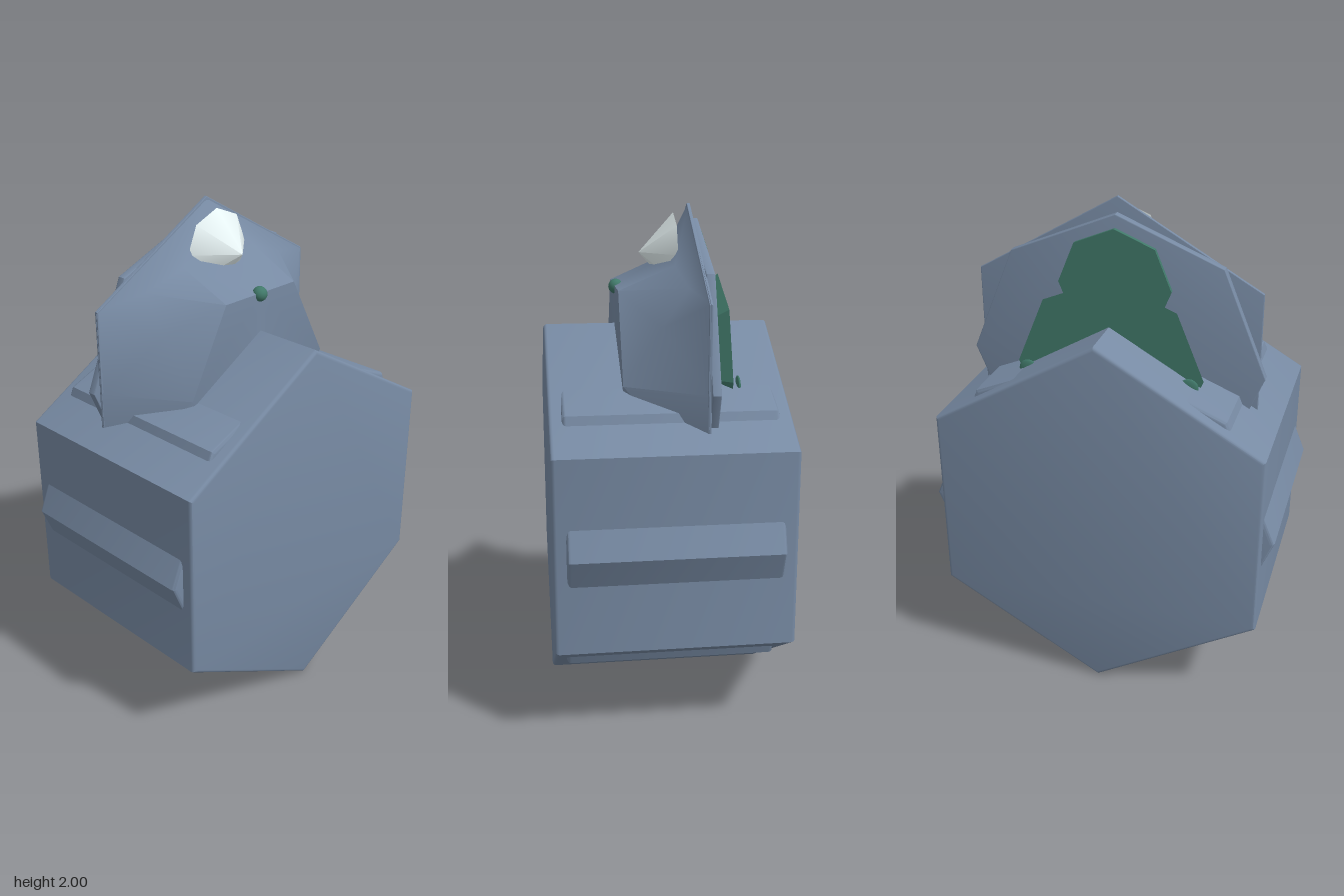
import * as THREE from 'three';
import { toCreasedNormals } from 'three/addons/utils/BufferGeometryUtils.js';

const slate = new THREE.MeshStandardMaterial({ color: 0x778aa3 });
const green = new THREE.MeshStandardMaterial({ color: 0x41796a });
const pale = new THREE.MeshStandardMaterial({ color: 0xe8f4f5 });

const BODY_Y = 0.763, HEAD_Y = 1.345;

export function createModel() {
  const model = new THREE.Group();

  const add = (name, geometry, material, x, y, z) => {
    const mesh = new THREE.Mesh(geometry, material);
    mesh.name = name;
    mesh.position.set(x, y, z);
    model.add(mesh);
    return mesh;
  };

  // Regular prism along z, one corner pointing up, with softened edges
  const prism = (sides, radius, depth, bevel) => {
    const inset = radius - bevel / Math.cos(Math.PI / sides);
    const pts = [];
    for (let i = 0; i < sides; i++) {
      const a = Math.PI / 2 + (i / sides) * Math.PI * 2;
      pts.push(new THREE.Vector2(Math.cos(a) * inset, Math.sin(a) * inset));
    }
    const geo = new THREE.ExtrudeGeometry(new THREE.Shape(pts), {
      depth: depth - 2 * bevel, bevelSize: bevel, bevelThickness: bevel, bevelSegments: 3,
    });
    geo.translate(0, 0, bevel - depth / 2);
    return toCreasedNormals(geo, 0.6);
  };

  // Eight-sided frustum along z
  const frustum = (front, back, depth) =>
    toCreasedNormals(new THREE.CylinderGeometry(front, back, depth, 8).rotateX(Math.PI / 2), 0.6);

  // Body: hexagonal block; an octagonal core pokes out as side ribs
  add('body', prism(6, 0.763, 0.92, 0.015), slate, 0, BODY_Y, 0);
  add('sideRibs', prism(8, 0.707, 0.82, 0.015), slate, 0, BODY_Y, 0);

  // Head: faceted half-shell given as corner loops, mirrored across x
  const P = {
    frontTop: [0, 1.68, 0.17], frontBottom: [0, 1.02, 0.17],
    brow: [0.19, 1.68, 0.17], cheek: [0.37, 1.34, 0.17], chin: [0.185, 1.02, 0.17],
    notch: [0.365, 1.56, 0.02], ledge: [0.375, 1.71, -0.08],
    ledgeIn: [0.2, 1.775, -0.05], ledgeMid: [0, 1.8, -0.035],
    crown: [0, 2.0, -0.13], corner: [0.57, 1.675, -0.13],
    side: [0.57, 1.34, -0.13], low: [0.57, 1.01, -0.13],
  };
  const loops = [
    ['frontTop', 'frontBottom', 'chin', 'cheek', 'brow'],
    ['frontTop', 'brow', 'ledgeIn', 'ledgeMid'],
    ['brow', 'notch', 'ledge', 'ledgeIn'],
    ['brow', 'cheek', 'notch'],
    ['cheek', 'side', 'notch'],
    ['notch', 'side', 'corner'],
    ['notch', 'corner', 'ledge'],
    ['crown', 'ledgeMid', 'ledgeIn', 'ledge', 'corner'],
    ['cheek', 'chin', 'low', 'side'],
  ];
  const verts = [];
  for (const loop of loops) {
    for (let i = 1; i < loop.length - 1; i++) {
      const tri = [P[loop[0]], P[loop[i]], P[loop[i + 1]]];
      tri.forEach((p) => verts.push(...p));
      tri.reverse().forEach(([x, y, z]) => verts.push(-x, y, z));
    }
  }
  const shell = new THREE.BufferGeometry();
  shell.setAttribute('position', new THREE.Float32BufferAttribute(verts, 3));
  add('headShell', toCreasedNormals(shell, 0.75), slate, 0, 0, 0);

  // Plates behind the head
  add('headPlate', prism(6, 0.657, 0.014, 0.003), slate, 0, HEAD_Y, -0.131);
  add('backPlate', prism(8, 0.597, 0.035, 0.004), slate, 0, HEAD_Y, -0.1525);

  // Forehead gem and small button below it
  add('foreheadGem', frustum(0, 0.156, 0.14), pale, 0, 1.81, 0);
  add('button', new THREE.SphereGeometry(0.03, 20, 14), green, 0, 1.675, 0.163);

  // Green pieces on the back
  add('backDisc', frustum(0.225, 0.225, 0.03), green, 0, 1.665, -0.172);
  add('backSlab', frustum(0.3, 0.375, 0.085), green, 0, HEAD_Y, -0.2125);
  for (const s of [1, -1]) {
    const stud = add('backStud', new THREE.SphereGeometry(0.038, 16, 10), green, s * 0.325, 1.325, -0.282);
    stud.scale.z = 0.25;
  }

  return model;
}
